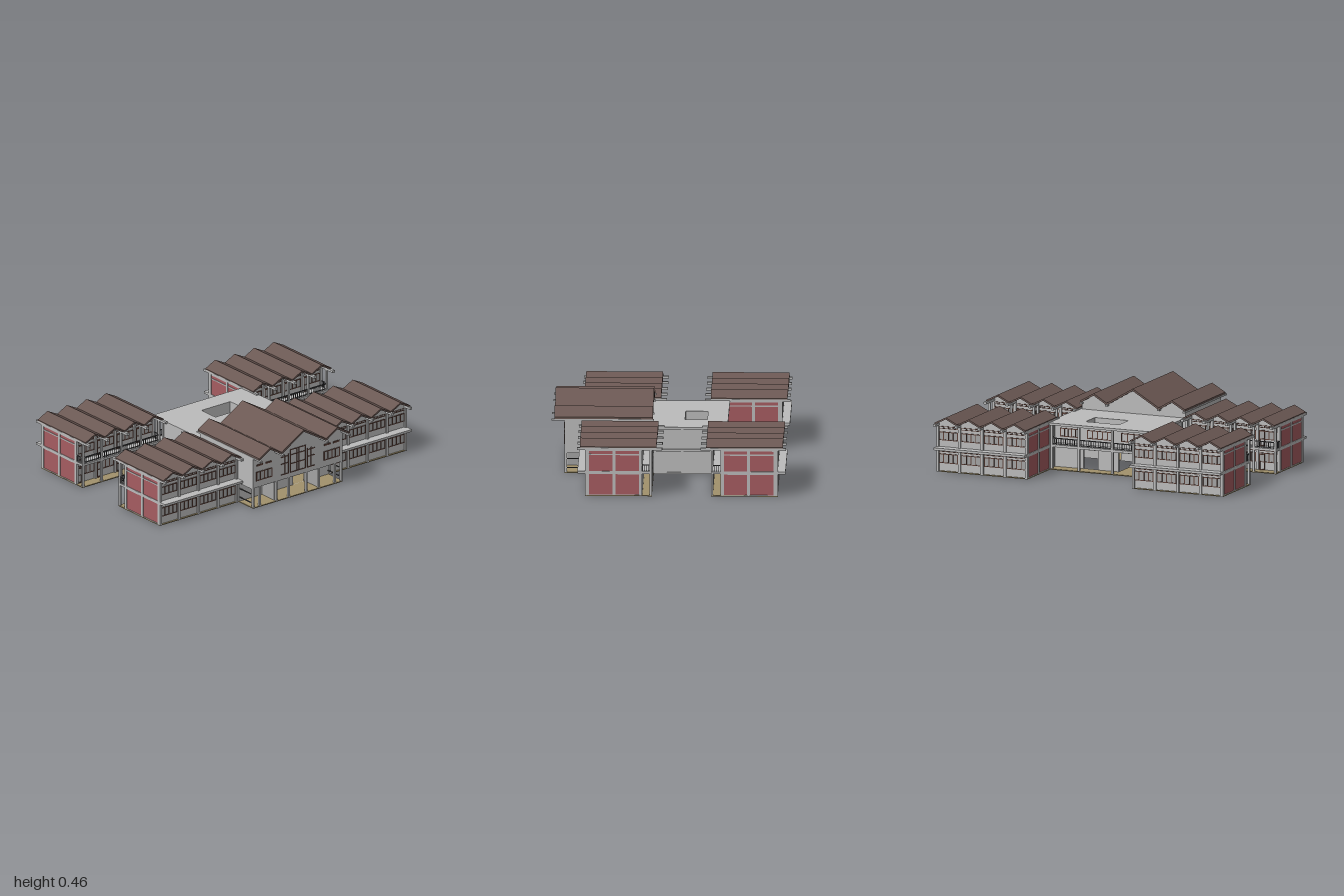
import * as THREE from 'three';
import { mergeGeometries } from 'three/addons/utils/BufferGeometryUtils.js';

const paint = (name, color) => Object.assign(new THREE.MeshStandardMaterial({ color }), { name });
const wallMat = paint('pale concrete', 0xbcbcbc);
const paneMat = paint('grey glass', 0xa4a4a4);
const roofMat = paint('brown roof', 0x6b5853);
const redMat = paint('red panel', 0xa65c61);
const frameMat = paint('brown frame', 0x5b4038);
const railMat = paint('dark rail', 0x4a4a4c);
const floorMat = paint('tan floor', 0xa2926c);

// box geometry from its limits
function limits([x0, x1, y0, y1, z0, z1]) {
  return new THREE.BoxGeometry(x1 - x0, y1 - y0, z1 - z0)
    .translate((x0 + x1) / 2, (y0 + y1) / 2, (z0 + z1) / 2);
}

function boxes(parent, name, mat, list) {
  const mesh = new THREE.Mesh(mergeGeometries(list.map(limits)), mat);
  mesh.name = name;
  parent.add(mesh);
}

// profile of [z, y] points with rectangular holes [z0, z1, y0, y1], extruded from x0 to x1
function slab(parent, name, mat, x0, x1, points, holes = []) {
  const shape = new THREE.Shape(points.map(([z, y]) => new THREE.Vector2(-z, y)));
  for (const [a, b, c, d] of holes) {
    shape.holes.push(new THREE.Path([[a, c], [b, c], [b, d], [a, d]].map(([z, y]) => new THREE.Vector2(-z, y))));
  }
  const geo = new THREE.ExtrudeGeometry(shape, { depth: x1 - x0, bevelEnabled: false });
  const mesh = new THREE.Mesh(geo.rotateY(Math.PI / 2).translate(x0, 0, 0), mat);
  mesh.name = name;
  parent.add(mesh);
}

// folded roof sheet following a ridge line
function foldedRoof(parent, x0, x1, line, t) {
  slab(parent, 'foldedRoof', roofMat, x0, x1, [...line, ...line.map(([z, y]) => [z, y - t]).reverse()]);
}

// window frame in a wall facing along x: n panes wide
function frame(list, x, z0, z1, y0, y1, n, w = 0.004) {
  const a = x - 0.004, b = x + 0.004;
  list.push([a, b, y0, y0 + w, z0, z1], [a, b, y1 - w, y1, z0, z1]);
  for (let i = 0; i <= n; i++) {
    const z = z0 + (z1 - z0) * i / n;
    list.push([a, b, y0, y1, z - w / 2, z + w / 2]);
  }
}

// balustrade running along z
function railZ(list, x, y, z0, z1) {
  list.push([x - 0.003, x + 0.003, y + 0.038, y + 0.044, z0, z1]);
  list.push([x - 0.002, x + 0.002, y + 0.005, y + 0.009, z0, z1]);
  const n = Math.round((z1 - z0) / 0.016);
  for (let i = 0; i <= n; i++) {
    const z = z0 + (z1 - z0) * i / n;
    list.push([x - 0.0015, x + 0.0015, y, y + 0.04, z - 0.0015, z + 0.0015]);
  }
}

// two-storey wing of four bays, gallery on the -x side, centred on z
function makeWing() {
  const g = new THREE.Group();
  g.name = 'classroomWing';
  const H = 0.312, bay = 0.156;
  boxes(g, 'wingFloor', floorMat, [[0.1, 0.515, 0, 0.006, -H, H]]);
  boxes(g, 'wingBody', wallMat, [[0.17, 0.505, 0.006, 0.305, -H + 0.006, H - 0.006]]);
  boxes(g, 'gallerySlabAndCanopy', wallMat, [[0.1, 0.565, 0.144, 0.159, -H, H]]);

  const ridge = [], gable = [[-H + 0.004, 0.29]];
  for (let i = 0; i <= 8; i++) {
    const z = -H + i * bay / 2, y = i % 2 ? 0.355 : 0.316;
    ridge.push([z, y]);
    gable.push([THREE.MathUtils.clamp(z, -H + 0.004, H - 0.004), y - 0.008]);
  }
  gable.push([H - 0.004, 0.29]);
  foldedRoof(g, 0.07, 0.55, ridge, 0.012);
  slab(g, 'gableWall', wallMat, 0.165, 0.51, gable);

  const posts = [], panes = [], frames = [], rails = [];
  for (let i = 0; i <= 4; i++) {
    const z = THREE.MathUtils.clamp(-H + i * bay, -H + 0.008, H - 0.008);
    posts.push([0.035, 0.567, 0.295, 0.31, z - 0.009, z + 0.009]);
    posts.push([0.1, 0.113, 0, 0.296, z - 0.007, z + 0.007]);
    posts.push([0.504, 0.518, 0, 0.296, z - 0.008, z + 0.008]);
    posts.push([0.16, 0.172, 0, 0.296, z - 0.008, z + 0.008]);
  }
  for (let i = 0; i < 4; i++) {
    const z0 = -H + i * bay + 0.014, z1 = z0 + bay - 0.028;
    for (const [x, s] of [[0.506, 1], [0.169, -1]]) {
      for (const [y0, y1] of [[0.055, 0.115], [0.2, 0.255]]) {
        panes.push([x - 0.002, x + 0.002, y0, y1, z0, z1]);
        frame(frames, x + s * 0.001, z0, z1, y0, y1, 4, 0.005);
      }
      for (const [y0, y1] of [[0.127, 0.14], [0.274, 0.289]]) frame(frames, x + s * 0.001, z0, z1, y0, y1, 4, 0.003);
    }
    // gallery doors
    for (const y of [0.006, 0.159]) frame(frames, 0.166, z0, z0 + 0.032, y, y + 0.1, 1, 0.005);
    railZ(rails, 0.106, 0.159, z0 - 0.006, z1 + 0.006);
  }

  // red end walls framed by concrete
  const red = [], grid = [];
  for (const s of [-1, 1]) {
    const strip = (x0, x1, y0, y1, a, b) => [x0, x1, y0, y1, Math.min(s * a, s * b), Math.max(s * a, s * b)];
    red.push(strip(0.175, 0.5, 0.008, 0.292, H - 0.008, H - 0.004));
    for (const [a, b] of [[0.165, 0.181], [0.326, 0.345], [0.491, 0.513]]) grid.push(strip(a, b, 0, 0.297, H - 0.012, H));
    for (const [a, b] of [[0, 0.009], [0.14, 0.16], [0.262, 0.27], [0.289, 0.297]]) grid.push(strip(0.165, 0.513, a, b, H - 0.012, H - 0.001));
    rails.push(strip(0.11, 0.165, 0.197, 0.202, H - 0.006, H - 0.001));
    for (let x = 0.12; x < 0.165; x += 0.012) rails.push(strip(x - 0.0015, x + 0.0015, 0.159, 0.2, H - 0.005, H - 0.002));
  }
  boxes(g, 'postsAndBeams', wallMat, posts);
  boxes(g, 'windowPanes', paneMat, panes);
  boxes(g, 'windowFrames', frameMat, frames);
  boxes(g, 'galleryRailing', railMat, rails);
  boxes(g, 'redEndPanels', redMat, red);
  boxes(g, 'endWallFrame', wallMat, grid);
  return g;
}

// main hall with three gables and a ground-floor porch
function makeHall() {
  const g = new THREE.Group();
  g.name = 'mainHall';
  boxes(g, 'hallFloor', floorMat, [[0.1, 0.66, 0, 0.006, -0.358, 0.358]]);
  const ridge = [[-0.358, 0.358], [-0.268, 0.41], [-0.178, 0.356], [0, 0.462], [0.178, 0.356], [0.268, 0.41], [0.358, 0.358]];
  foldedRoof(g, 0.107, 0.722, ridge, 0.014);
  const top = ridge.map(([z, y]) => [z * 0.995, y - 0.009]);
  const outline = (y) => [[-0.356, y], ...top, [0.356, y]];
  const doors = [[0.075, 0.165, 0.006, 0.125], [-0.165, -0.075, 0.006, 0.125]];
  slab(g, 'upperFacade', wallMat, 0.645, 0.66, outline(0.137));
  slab(g, 'porchWall', wallMat, 0.51, 0.52, [[-0.35, 0], [-0.35, 0.14], [0.35, 0.14], [0.35, 0]], doors);
  slab(g, 'backWall', wallMat, 0.165, 0.177, outline(0.0), doors);
  slab(g, 'backGable', wallMat, 0.125, 0.165, outline(0.296));
  boxes(g, 'hallUpperFloor', wallMat, [[0.1, 0.65, 0.137, 0.152, -0.35, 0.35]]);
  const sides = [], bars = [], beams = [];
  for (const s of [-1, 1]) {
    const a = Math.min(s * 0.346, s * 0.357), b = Math.max(s * 0.346, s * 0.357);
    sides.push([0.165, 0.52, 0, 0.347, a, b], [0.52, 0.66, 0.128, 0.347, a, b], [0.642, 0.66, 0, 0.13, a, b]);
    for (const y of [0.03, 0.088]) bars.push([0.52, 0.643, y, y + 0.005, s * 0.352 - 0.003, s * 0.352 + 0.003]);
    for (const z of [0.178, 0.353]) beams.push([0.1, 0.74, 0.336, 0.346, s * z - 0.008, s * z + 0.008]);
  }
  boxes(g, 'sideWalls', wallMat, sides);
  boxes(g, 'porchSideBars', railMat, bars);
  boxes(g, 'valleyBeams', wallMat, beams);
  const columns = [];
  for (const z of [0.07, 0.17, 0.3]) for (const s of [-1, 1]) columns.push([0.645, 0.66, 0, 0.14, s * z - 0.006, s * z + 0.006]);
  boxes(g, 'porchColumns', wallMat, columns);
  boxes(g, 'porchPartition', paneMat, [[0.52, 0.643, 0, 0.137, 0.17, 0.176], [0.52, 0.643, 0, 0.137, -0.176, -0.17]]);

  // facade windows
  const frames = [], panes = [];
  const fx = 0.66, line = (y0, y1, z0, z1) => frames.push([fx - 0.003, fx + 0.004, y0, y1, z0, z1]);
  for (const s of [-1, 1]) {
    const c = s * 0.27;
    frame(frames, fx, c - 0.06, c + 0.06, 0.18, 0.242, 4, 0.006);
    panes.push([fx - 0.002, fx + 0.002, 0.18, 0.242, c - 0.06, c + 0.06]);
    line(0.279, 0.29, c - 0.06, c - 0.01);
    line(0.279, 0.29, c + 0.01, c + 0.06);
    for (const z of [0.008, 0.06, 0.075, 0.105]) line(0.17, z < 0.07 ? 0.325 : 0.3, s * z - 0.0025, s * z + 0.0025);
    const a = Math.min(s * 0.075, s * 0.135), b = Math.max(s * 0.075, s * 0.135);
    for (const y of [0.168, 0.24, 0.286]) line(y, y + 0.005, a, b);
  }
  for (const y of [0.168, 0.225, 0.285, 0.32]) line(y, y + 0.005, -0.06, 0.06);
  boxes(g, 'facadeFrames', frameMat, frames);
  boxes(g, 'facadePanes', paneMat, panes);

  // stair handrail inside the doorway
  const rail = new THREE.Group();
  rail.name = 'stairRail';
  boxes(rail, 'handrail', railMat, [[0.3, 0.306, 0.08, 0.094, -0.17, -0.085], [0.3, 0.306, 0.06, 0.108, -0.178, -0.168]]);
  g.add(rail);
  return g;
}

// flat-roofed link around a small courtyard
function makeLink() {
  const g = new THREE.Group();
  g.name = 'courtyardLink';
  // plates built from four strips round the opening
  const ring = (x0, x1, y0, y1) => [
    [x0, x1, y0, y1, -0.38, -0.17], [x0, x1, y0, y1, 0.06, 0.35],
    [x0, -0.23, y0, y1, -0.17, 0.06], [-0.09, x1, y0, y1, -0.17, 0.06]];
  boxes(g, 'flatRoof', wallMat, ring(-0.36, 0.13, 0.286, 0.301));
  boxes(g, 'linkUpperFloor', wallMat, ring(-0.335, 0.165, 0.144, 0.159));
  boxes(g, 'linkFloor', floorMat, [[-0.345, -0.25, 0, 0.006, -0.37, 0.36], [-0.25, 0.1, 0, 0.006, 0.07, 0.17]]);
  boxes(g, 'courtyardWalls', wallMat, [
    [-0.24, -0.23, 0.145, 0.29, -0.18, 0.07], [-0.09, -0.08, 0.145, 0.29, -0.18, 0.07],
    [-0.23, -0.09, 0.145, 0.29, -0.18, -0.17], [-0.23, -0.09, 0.145, 0.29, 0.06, 0.07]]);
  const ends = [], trim = [];
  for (const z of [-0.37, 0.335]) {
    ends.push([-0.255, 0.088, 0.008, 0.29, z, z + 0.01]);
    for (const [a, b] of [[-0.262, -0.25], [-0.085, -0.07], [0.088, 0.102]]) trim.push([a, b, 0, 0.29, z - 0.003, z + 0.013]);
    trim.push([-0.255, 0.09, 0, 0.01, z - 0.002, z + 0.012]);
  }
  boxes(g, 'linkEndWalls', wallMat, ends);
  boxes(g, 'linkEndTrim', wallMat, trim);
  const doors = [[0.07, 0.165, 0.006, 0.127], [-0.17, -0.07, 0.006, 0.127]];
  const rect = [[-0.365, 0], [-0.365, 0.29], [0.34, 0.29], [0.34, 0]];
  for (const x of [-0.262, 0.088]) slab(g, 'linkSideWall', wallMat, x, x + 0.012, rect, doors);
  const posts = [], rails = [], frames = [];
  const stops = [-0.355, -0.17, 0.06, 0.335];
  stops.forEach((z, i) => {
    posts.push([-0.336, -0.324, 0, 0.288, z - 0.007, z + 0.007]);
    if (i < 3) {
      railZ(rails, -0.33, 0.159, z, stops[i + 1]);
      frame(frames, -0.262, z + 0.03, stops[i + 1] - 0.03, 0.2, 0.255, 5, 0.005);
    }
  });
  boxes(g, 'linkPosts', wallMat, posts);
  boxes(g, 'linkRailing', railMat, rails);
  boxes(g, 'linkWindows', frameMat, frames);
  return g;
}

export function createModel() {
  const model = new THREE.Group();
  model.name = 'schoolBuilding';
  const wing = makeWing();
  for (const s of [-1, 1]) {
    const right = wing.clone();
    right.position.z = s * 0.675;
    const left = wing.clone();
    left.rotation.y = Math.PI;
    left.position.set(-0.17, 0, s * 0.67 - 0.004);
    model.add(right, left);
  }
  model.add(makeHall(), makeLink());
  return model;
}
